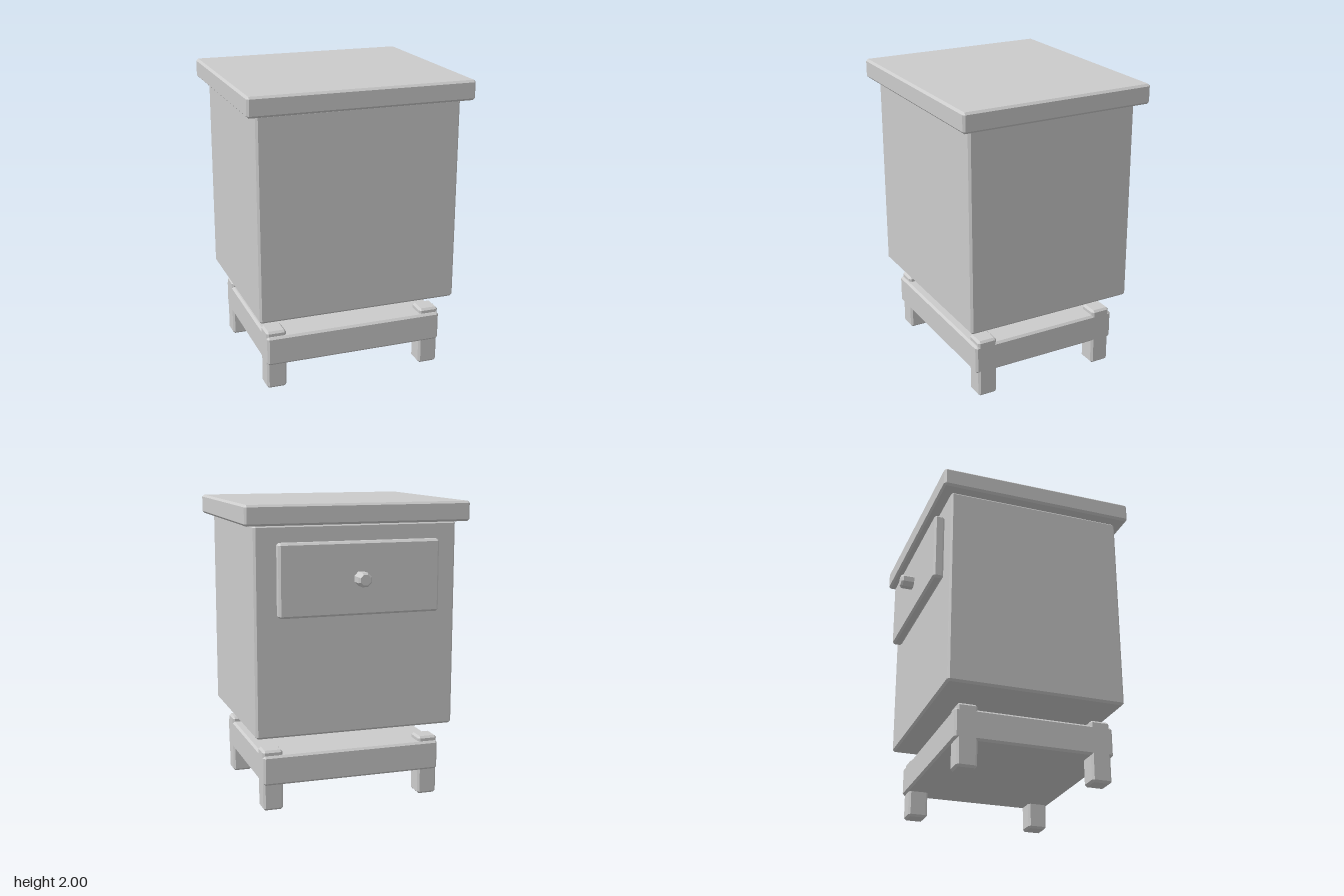
import * as THREE from 'three';
import { ConvexGeometry } from 'three/addons/geometries/ConvexGeometry.js';

const material = new THREE.MeshStandardMaterial({ color: 0xcccccc, flatShading: true });

// Box with chamfered edges, given its extents on each axis
function chamferBox(name, [x0, x1], [y0, y1], [z0, z1], c = 0.014) {
  const w = (x1 - x0) / 2, h = (y1 - y0) / 2, d = (z1 - z0) / 2;
  const points = [];
  for (const sx of [-1, 1]) for (const sy of [-1, 1]) for (const sz of [-1, 1]) {
    points.push(
      new THREE.Vector3(sx * w, sy * (h - c), sz * (d - c)),
      new THREE.Vector3(sx * (w - c), sy * h, sz * (d - c)),
      new THREE.Vector3(sx * (w - c), sy * (h - c), sz * d)
    );
  }
  const mesh = new THREE.Mesh(new ConvexGeometry(points), material);
  mesh.name = name;
  mesh.position.set((x0 + x1) / 2, (y0 + y1) / 2, (z0 + z1) / 2);
  return mesh;
}

export function createModel() {
  const model = new THREE.Group();
  model.name = 'nightstand';

  // Cabinet and overhanging top
  model.add(chamferBox('top', [-0.745, 0.745], [1.87, 2], [-0.615, 0.703]));
  model.add(chamferBox('body', [-0.675, 0.675], [0.513, 1.87], [-0.545, 0.635]));

  // Drawer front on the back side
  model.add(chamferBox('drawerFront', [-0.535, 0.535], [1.294, 1.763], [-0.615, -0.545]));

  // Eight-sided knob with a chamfered end
  const r = 0.045 / Math.cos(Math.PI / 8);
  const profile = [[0, 0], [r, 0], [r, 0.078], [r - 0.013, 0.091], [0, 0.091]]
    .map(([x, y]) => new THREE.Vector2(x, y));
  const knobGeometry = new THREE.LatheGeometry(profile, 8, Math.PI / 8);
  knobGeometry.rotateX(-Math.PI / 2);
  const knob = new THREE.Mesh(knobGeometry, material);
  knob.name = 'drawerKnob';
  knob.position.set(0, 1.528, -0.612);
  model.add(knob);

  // Solid base slab with a leg through each corner
  model.add(chamferBox('baseFrame', [-0.61, 0.61], [0.175, 0.373], [-0.476, 0.571]));
  for (const side of [-1, 1]) {
    const xs = side > 0 ? [0.476, 0.61] : [-0.61, -0.476];
    const prefix = side > 0 ? 'left' : 'right';
    model.add(chamferBox(prefix + 'FrontLeg', xs, [0, 0.407], [0.419, 0.552]));
    model.add(chamferBox(prefix + 'BackLeg', xs, [0, 0.407], [-0.46, -0.327]));
  }
  return model;
}
